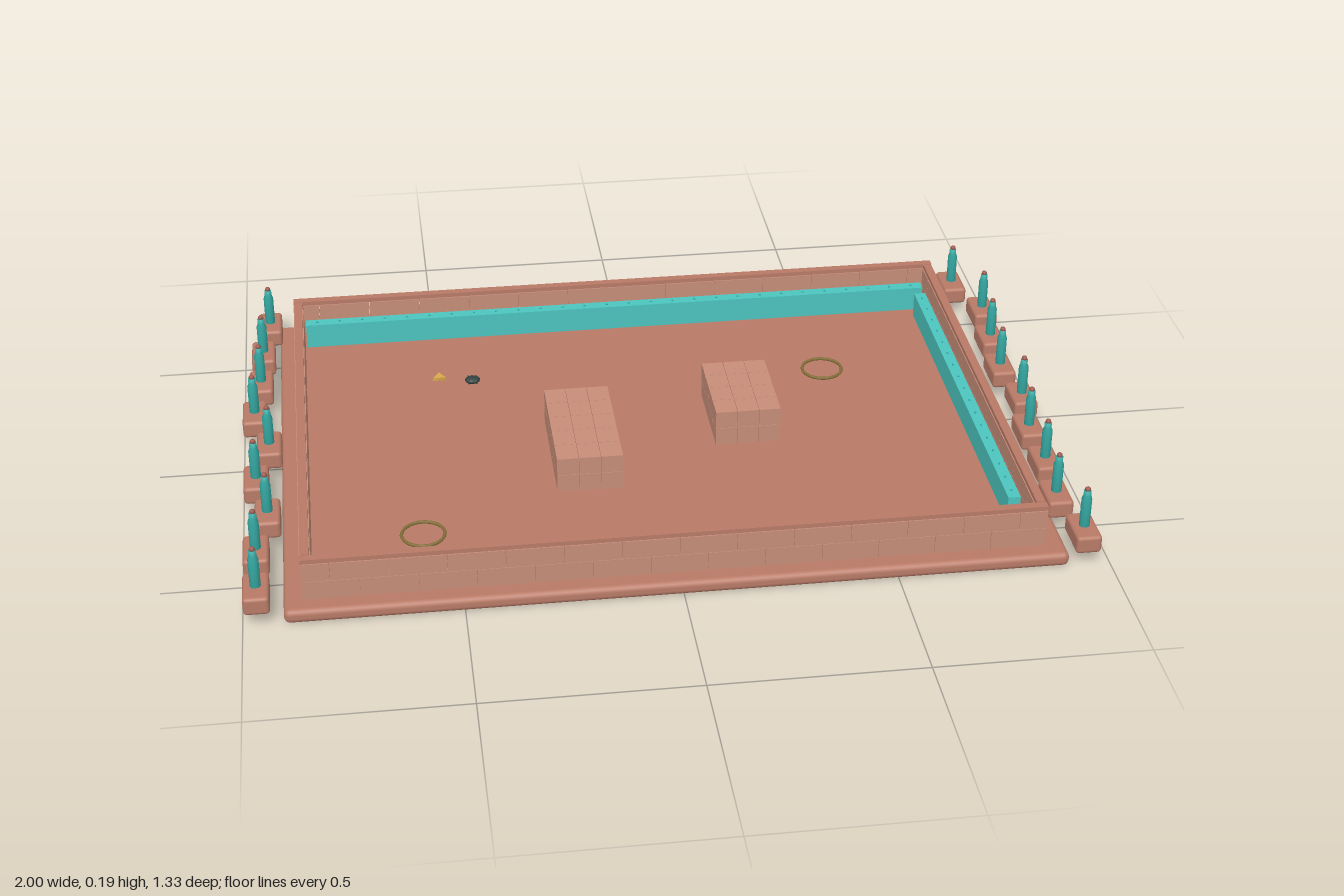
import * as THREE from 'three';
import { RoundedBoxGeometry } from 'three/addons/geometries/RoundedBoxGeometry.js';

const mat = (color) => new THREE.MeshStandardMaterial({ color });
const CLAY = mat(0xb87a66), BRICK = mat(0xc68d79), TEAL = mat(0x36aaa4), AQUA = mat(0x4cc4be);
const RED = mat(0x9c5a50), OLIVE = mat(0x85703a), DARK = mat(0x34423f), YELLOW = mat(0xd9a94a);
const FLOOR = 0.035;

function add(parent, name, geometry, material, x = 0, y = 0, z = 0) {
  const m = new THREE.Mesh(geometry, material);
  m.name = name;
  m.position.set(x, y, z);
  parent.add(m);
  return m;
}

function group(parent, name, x = 0, y = 0, z = 0) {
  const g = new THREE.Group();
  g.name = name;
  g.position.set(x, y, z);
  parent.add(g);
  return g;
}

// Two staggered brick courses with a thin coping, running along local x
function brickWall(parent, name, length, x, z, turn) {
  const g = group(parent, name, x, FLOOR, z);
  g.rotation.y = turn;
  const count = Math.round(length / 0.13), step = length / count, h = 0.047, t = 0.025;
  for (let row = 0; row < 2; row++) {
    for (let i = 0; i <= count; i++) {
      const a = Math.max(0, (i - row / 2) * step), b = Math.min(length, (i + 1 - row / 2) * step);
      if (b - a < 0.01) continue;
      add(g, 'wallBrick', new THREE.BoxGeometry(b - a - 0.001, h - 0.001, t), BRICK,
        (a + b) / 2 - length / 2, (row + 0.5) * h, 0);
    }
  }
  add(g, 'wallCoping', new THREE.BoxGeometry(length, 0.011, t - 0.004), CLAY, 0, 2 * h + 0.0055, 0);
}

// Two-course stack of bricks
function brickStack(parent, name, x0, x1, z0, z1, nx, nz) {
  const g = group(parent, name, (x0 + x1) / 2, FLOOR, (z0 + z1) / 2);
  const w = (x1 - x0) / nx, d = (z1 - z0) / nz, h = 0.046;
  for (let k = 0; k < 2; k++)
    for (let i = 0; i < nx; i++)
      for (let j = 0; j < nz; j++)
        add(g, 'stackBrick', new THREE.BoxGeometry(w - 0.001, h - 0.001, d - 0.001), BRICK,
          (i + 0.5 - nx / 2) * w, (k + 0.5) * h, (j + 0.5 - nz / 2) * d);
}

// Long teal trough edge with a row of small studs on top
function tealStrip(parent, name, length, x, z, turn) {
  const g = group(parent, name, x, FLOOR, z);
  g.rotation.y = turn;
  add(g, 'stripBody', new THREE.BoxGeometry(length, 0.065, 0.03), AQUA, 0, 0.0325, 0);
  const n = Math.round(length / 0.06), stud = new THREE.BoxGeometry(0.006, 0.002, 0.004);
  for (let i = 0; i < n; i++) add(g, 'stripStud', stud, TEAL, ((i + 0.5) / n - 0.5) * length, 0.066, 0);
}

export function createModel() {
  const root = new THREE.Group();
  root.name = 'walledCourt';

  // Base slab
  add(root, 'baseSlab', new RoundedBoxGeometry(1.81, FLOOR, 1.325, 3, 0.014), CLAY, -0.002, FLOOR / 2, -0.002);

  // Perimeter walls
  brickWall(root, 'frontWall', 1.72, -0.005, 0.603, 0);
  brickWall(root, 'backWall', 1.72, -0.005, -0.608, 0);
  brickWall(root, 'leftWall', 1.185, 0.843, -0.0025, Math.PI / 2);
  brickWall(root, 'rightWall', 1.185, -0.853, -0.0025, Math.PI / 2);

  // Teal strips along the back and left walls
  tealStrip(root, 'backStrip', 1.655, -0.008, -0.555, 0);
  tealStrip(root, 'leftStrip', 1.015, 0.805, -0.002, Math.PI / 2);

  // Brick stacks in the court
  brickStack(root, 'longStack', -0.25, -0.09, -0.085, 0.245, 3, 5);
  brickStack(root, 'shortStack', 0.16, 0.322, -0.165, 0.08, 3, 4);

  // Side blocks, each with a peg, set a little unevenly
  const block = new RoundedBoxGeometry(0.06, 0.045, 0.11, 3, 0.009);
  const peg = new THREE.LatheGeometry([[0, 0], [0.0125, 0], [0.0125, 0.072], [0.009, 0.082], [0.009, 0.094], [0, 0.098]]
    .map(([r, y]) => new THREE.Vector2(r, y)), 12);
  const knob = new THREE.SphereGeometry(0.007, 10, 8);
  const rows = {
    rightPost: [-0.93, -0.948, -0.954, -0.97, -0.934, -0.966, -0.939, -0.966, -0.966],
    leftPost: [0.916, 0.965, 0.95, 0.938, 0.955, 0.934, 0.934, 0.92, 0.945],
  };
  for (const [name, xs] of Object.entries(rows))
    xs.forEach((x, i) => {
      const g = group(root, name, x, 0, -0.61 + i * 0.1525);
      add(g, 'postBlock', block, CLAY, 0, 0.0575, 0);
      add(g, 'peg', peg, TEAL, 0, 0.08, 0);
      add(g, 'pegKnob', knob, RED, 0, 0.178, 0);
    });

  // Thin rings lying on the floor
  const ring = new THREE.TorusGeometry(0.051, 0.004, 6, 32).rotateX(Math.PI / 2);
  add(root, 'floorRing', ring, OLIVE, 0.49, FLOOR + 0.004, -0.25);
  add(root, 'floorRing', ring, OLIVE, -0.58, FLOOR + 0.004, 0.39);

  // Small ribbed dark pod
  const pod = group(root, 'darkPod', -0.416, FLOOR + 0.008, -0.302);
  add(pod, 'podBody', new THREE.SphereGeometry(1, 14, 8).scale(0.02, 0.009, 0.016), DARK);
  for (const x of [-0.01, 0, 0.01])
    add(pod, 'podRib', new THREE.TorusGeometry(1, 0.12, 6, 16).rotateY(Math.PI / 2).scale(0.012, 0.0085, 0.0155), DARK, x);

  // Small yellow wedge
  add(root, 'yellowWedge', new THREE.CylinderGeometry(0.019, 0.021, 0.008, 3).rotateY(Math.PI), YELLOW,
    -0.5, FLOOR + 0.004, -0.332);
  return root;
}
